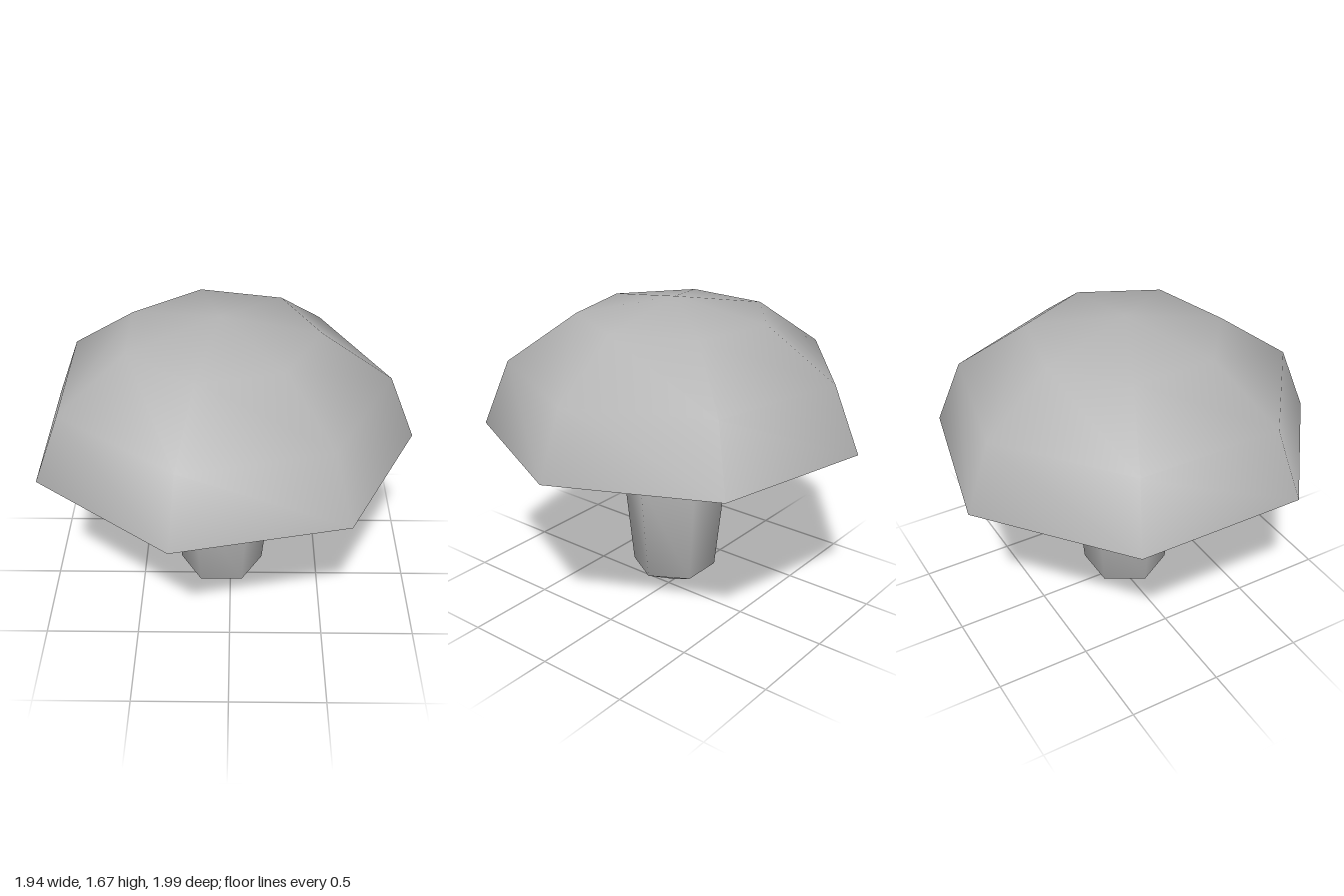
import * as THREE from 'three';
import { mergeVertices } from 'three/addons/utils/BufferGeometryUtils.js';

const AXIS_X = -0.05;

// Faceted solid of revolution with smooth normals and one corner on +x
function turned(name, profile, sides, material) {
  const points = profile.map(([r, y]) => new THREE.Vector2(r, y));
  let geometry = new THREE.LatheGeometry(points, sides, Math.PI / 2);
  geometry.deleteAttribute('uv');
  geometry.deleteAttribute('normal');
  geometry = mergeVertices(geometry, 1e-4);
  geometry.computeVertexNormals();
  const mesh = new THREE.Mesh(geometry, material);
  mesh.name = name;
  mesh.position.x = AXIS_X;
  return mesh;
}

export function createModel() {
  const grey = new THREE.MeshStandardMaterial({ color: 0xb4b4b4, side: THREE.DoubleSide });
  grey.name = 'plain grey';

  const group = new THREE.Group();
  group.name = 'mushroom';

  // Hollow seven-sided cap, open underneath
  group.add(turned('cap', [[1.02, 0.97], [0.88, 1.32], [0.51, 1.58], [0, 1.67]], 7, grey));

  // Six-sided stem, pointed at the foot and tapering up into the cap
  group.add(turned('stem', [[0, 0], [0.23, 0.125], [0.29, 0.71], [0.12, 1.59]], 6, grey));

  return group;
}
